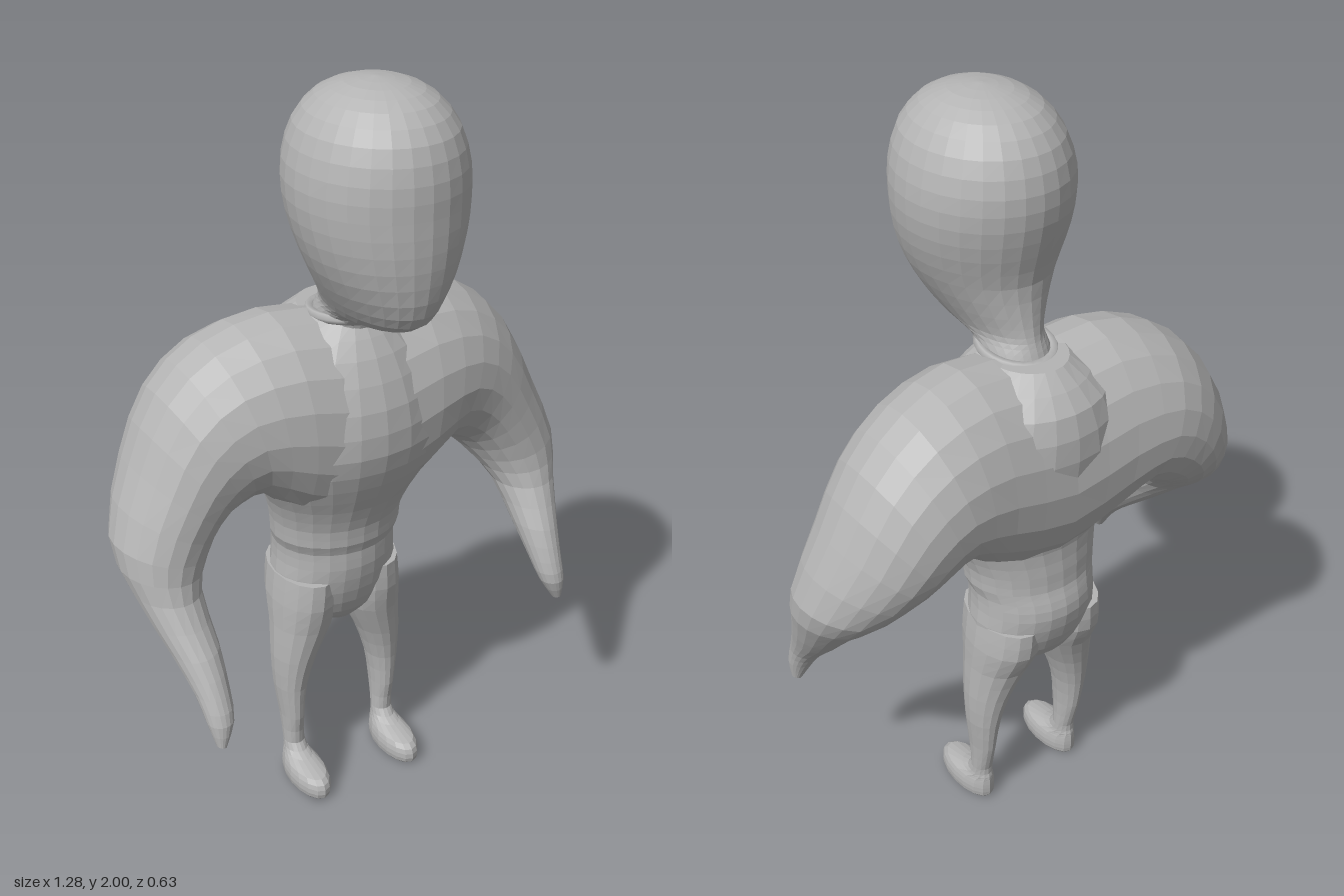
import * as THREE from 'three';

const skin = new THREE.MeshStandardMaterial({ color: 0xb4b4b4 });
skin.name = 'clay grey';

// Smooth skin over elliptical rings { c: centre, u, v: half axes }, with u x v along the path
function loft(name, rings, sides, steps) {
  const curve = (key) => new THREE.CatmullRomCurve3(rings.map((r) => r[key]), false, 'catmullrom', 0.5);
  const [c, u, v] = ['c', 'u', 'v'].map(curve);
  const rows = (rings.length - 1) * steps;
  const pos = [], index = [];
  for (let i = 0; i <= rows; i++) {
    const t = i / rows, C = c.getPoint(t), U = u.getPoint(t), V = v.getPoint(t);
    for (let j = 0; j < sides; j++) {
      const a = (j / sides) * Math.PI * 2;
      const p = C.clone().addScaledVector(U, Math.cos(a)).addScaledVector(V, Math.sin(a));
      pos.push(p.x, Math.max(p.y, 0), p.z);
    }
  }
  for (let i = 0; i < rows; i++) {
    for (let j = 0; j < sides; j++) {
      const k = (j + 1) % sides;
      const a = i * sides + j, b = i * sides + k, d = a + sides, e = b + sides;
      index.push(a, b, e, a, e, d);
    }
  }
  // end caps
  const first = (rows + 1) * sides, top = rows * sides;
  pos.push(...rings[0].c.toArray(), ...rings[rings.length - 1].c.toArray());
  for (let j = 0; j < sides; j++) {
    const k = (j + 1) % sides;
    index.push(first, k, j, first + 1, top + j, top + k);
  }
  const indexed = new THREE.BufferGeometry();
  indexed.setAttribute('position', new THREE.Float32BufferAttribute(pos, 3));
  indexed.setIndex(index);
  const geometry = indexed.toNonIndexed(); // faceted normals
  geometry.computeVertexNormals();
  const mesh = new THREE.Mesh(geometry, skin);
  mesh.name = name;
  return mesh;
}

// Upright form from level rings: [height, centre x, half width, front z, back z]
function tower(name, rows, sides, steps) {
  return loft(name, rows.map(([y, x, w, front, back]) => ({
    c: new THREE.Vector3(x, y, (front + back) / 2),
    u: new THREE.Vector3(0, 0, (front - back) / 2),
    v: new THREE.Vector3(w, 0, 0),
  })), sides, steps);
}

// Arm rings from shoulder to hand: [outer x, outer y, inner x, inner y, front z, back z]
const armRows = [
  [0.19, 1.415, 0.17, 0.88, 0.125, -0.305],
  [0.36, 1.37, 0.25, 0.95, 0.10, -0.315],
  [0.485, 1.265, 0.31, 0.94, 0.08, -0.31],
  [0.57, 1.10, 0.36, 0.915, 0.07, -0.285],
  [0.64, 0.92, 0.41, 0.86, 0.07, -0.21],
  [0.622, 0.80, 0.455, 0.79, 0.09, -0.11],
  [0.59, 0.68, 0.47, 0.69, 0.145, -0.005],
  [0.572, 0.60, 0.485, 0.60, 0.18, 0.08],
  [0.568, 0.54, 0.50, 0.54, 0.195, 0.125],
  [0.56, 0.485, 0.535, 0.48, 0.185, 0.155],
];

function armRing([ox, oy, ix, iy, front, back], side) {
  // the right hand reaches a little further forward and inward
  const reach = side < 0 ? Math.max(0, 0.8 - oy) / 0.32 : 0;
  return {
    c: new THREE.Vector3(side * ((ox + ix) / 2 - 0.02 * reach), (oy + iy) / 2 - 0.015 * reach, (front + back) / 2 + 0.065 * reach),
    u: new THREE.Vector3(side * (ox - ix) / 2, (oy - iy) / 2, 0),
    v: new THREE.Vector3(0, 0, (front - back) / 2),
  };
}

export function createModel() {
  const model = new THREE.Group();
  model.name = 'muscularFigure';

  // head and neck
  model.add(tower('headAndNeck', [
    [1.33, 0, 0.085, 0.04, -0.16],
    [1.395, 0, 0.082, 0.055, -0.14],
    [1.425, 0, 0.08, 0.11, -0.128],
    [1.45, 0, 0.092, 0.24, -0.12],
    [1.50, 0, 0.122, 0.29, -0.112],
    [1.58, 0, 0.165, 0.31, -0.108],
    [1.66, 0, 0.194, 0.317, -0.128],
    [1.74, 0, 0.208, 0.317, -0.147],
    [1.82, 0, 0.205, 0.315, -0.15],
    [1.90, 0, 0.18, 0.293, -0.125],
    [1.96, 0, 0.132, 0.24, -0.07],
    [1.99, 0, 0.072, 0.17, 0.005],
    [2.00, 0, 0.005, 0.09, 0.08],
  ], 28, 2));

  // low collar at the base of the neck
  const collar = new THREE.Mesh(new THREE.TorusGeometry(0.085, 0.013, 6, 24), skin);
  collar.name = 'neckCollar';
  collar.rotation.x = Math.PI / 2 - 0.1;
  collar.scale.y = 1.15;
  collar.position.set(0, 1.4, -0.05);
  model.add(collar);

  // one arch of muscle from hand to hand
  const middle = armRing([0, 1.395, 0, 0.82, 0.135, -0.30], 1);
  model.add(loft('shouldersAndArms', [
    ...armRows.map((r) => armRing(r, -1)).reverse(),
    middle,
    ...armRows.map((r) => armRing(r, 1)),
  ], 20, 2));

  // chest, waist and hips
  model.add(tower('trunk', [
    [0.49, -0.01, 0.05, -0.04, -0.14],
    [0.54, -0.01, 0.13, 0.0, -0.20],
    [0.62, -0.01, 0.172, 0.03, -0.24],
    [0.70, -0.01, 0.168, 0.045, -0.258],
    [0.75, -0.01, 0.168, 0.045, -0.25],
    [0.78, -0.01, 0.178, 0.055, -0.24],
    [0.83, -0.01, 0.182, 0.06, -0.238],
    [0.90, -0.005, 0.205, 0.085, -0.235],
    [0.98, 0, 0.25, 0.12, -0.25],
    [1.08, 0, 0.28, 0.15, -0.28],
    [1.20, 0, 0.26, 0.142, -0.30],
    [1.32, 0, 0.20, 0.095, -0.28],
    [1.40, 0, 0.10, 0.04, -0.20],
  ], 24, 2));

  // legs with feet, from the sole up to the hip
  for (const side of [-1, 1]) {
    const lean = side < 0 ? -0.022 : -0.004;
    const rows = [
      [0.0, 0.135, 0.035, 0.075, -0.10],
      [0.012, 0.135, 0.047, 0.092, -0.112],
      [0.04, 0.135, 0.05, 0.095, -0.115],
      [0.065, 0.135, 0.044, 0.075, -0.114],
      [0.08, 0.135, 0.034, 0.0, -0.112],
      [0.11, 0.135, 0.029, -0.045, -0.108],
      [0.20, 0.137, 0.031, -0.035, -0.13],
      [0.30, 0.137, 0.043, -0.03, -0.145],
      [0.40, 0.123, 0.06, -0.015, -0.163],
      [0.50, 0.098, 0.08, 0.005, -0.192],
      [0.58, 0.09, 0.085, 0.022, -0.23],
      [0.66, 0.085, 0.08, 0.025, -0.235],
    ].map(([y, x, w, front, back]) => [y, side * x + lean, w, front, back]);
    model.add(tower(side < 0 ? 'rightLeg' : 'leftLeg', rows, 16, 2));
  }

  return model;
}
